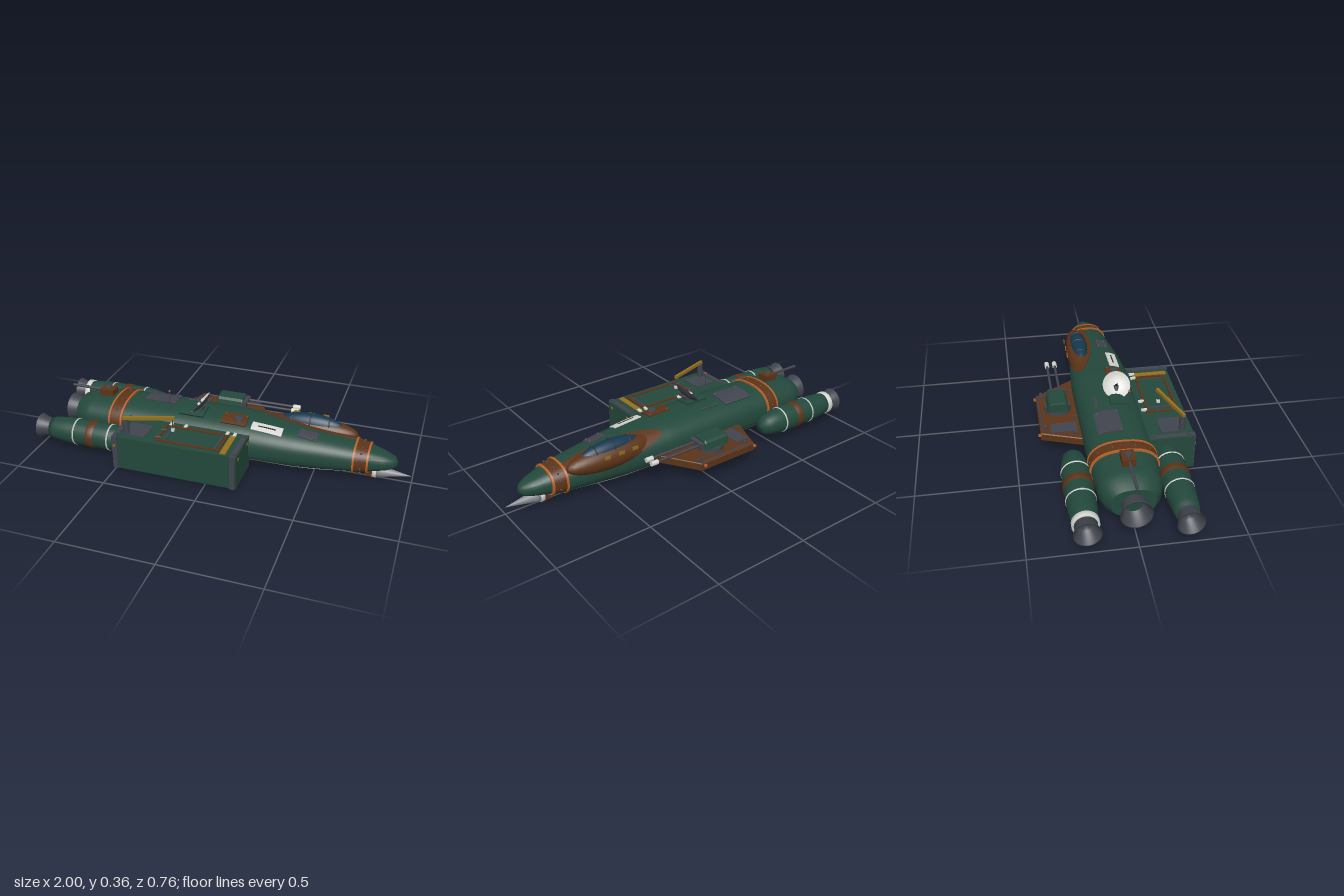
import * as THREE from 'three';
import { toCreasedNormals } from 'three/addons/utils/BufferGeometryUtils.js';

const mat = (name, color) => Object.assign(new THREE.MeshStandardMaterial({ color }), { name });
const M = {
  green: mat('hull green', 0x23483c), brown: mat('rust brown', 0x5c3418), grey: mat('gunmetal', 0x41444d),
  belly: mat('belly grey', 0x2d2f35), orange: mat('orange trim', 0xb5622a), mustard: mat('mustard', 0x94701c),
  white: mat('white', 0xd4d4d0), blue: mat('canopy blue', 0x14384f), metal: mat('light metal', 0x85888e),
};

// Hull stations: x, half width, top, bottom
const ST = [
  [-0.85, 0.105, 0.2, 0.05], [-0.82, 0.13, 0.215, 0.035], [-0.77, 0.15, 0.235, 0.025], [-0.6, 0.163, 0.245, 0.015],
  [-0.3, 0.165, 0.248, 0.01], [0.1, 0.165, 0.245, 0.008], [0.25, 0.158, 0.235, 0.012], [0.4, 0.145, 0.222, 0.018],
  [0.55, 0.122, 0.205, 0.026], [0.7, 0.1, 0.186, 0.037], [0.78, 0.083, 0.172, 0.048], [0.86, 0.058, 0.15, 0.062],
  [0.905, 0.035, 0.133, 0.075], [0.92, 0.012, 0.115, 0.09],
];
const N = 2.4;
const sPow = (v, p) => Math.sign(v) * Math.abs(v) ** p;
function section(x) {
  let i = 0;
  while (i < ST.length - 2 && x > ST[i + 1][0]) i++;
  const t = (x - ST[i][0]) / (ST[i + 1][0] - ST[i][0]);
  const [w, top, bot] = [1, 2, 3].map(k => THREE.MathUtils.lerp(ST[i][k], ST[i + 1][k], t));
  return { w, h: (top - bot) / 2, cy: (top + bot) / 2 };
}
const angleAt = (x, z) => Math.acos(THREE.MathUtils.clamp(sPow(z / section(x).w, N / 2), -1, 1));
const topAt = (x, z) => { const s = section(x); return s.cy + s.h * Math.sin(angleAt(x, z)) ** (2 / N); };

// Skin over the hull between stations xs and angles range(x), with closed borders
function skin(xs, range, lift, cols = 24, capped = false) {
  const pos = [], idx = [], rows = xs.length, stride = cols + 3;
  for (let i = -1; i <= rows; i++) for (let j = -1; j <= cols + 1; j++) {
    const x = xs[THREE.MathUtils.clamp(i, 0, rows - 1)];
    const [a0, a1] = range(x), a = a0 + (a1 - a0) * THREE.MathUtils.clamp(j / cols, 0, 1);
    const rowEdge = i < 0 || i === rows, edge = rowEdge || j < 0 || j > cols;
    const s = section(x), l = edge ? 0 : lift, k = rowEdge && capped ? 0 : 1;
    pos.push(x, s.cy + k * (s.h + l) * sPow(Math.sin(a), 2 / N), k * (s.w + l) * sPow(Math.cos(a), 2 / N));
  }
  for (let i = 0; i <= rows; i++) for (let j = 0; j < stride - 1; j++) {
    const p = i * stride + j, q = p + stride;
    idx.push(p, q, q + 1, p, q + 1, p + 1);
  }
  const g = new THREE.BufferGeometry();
  g.setAttribute('position', new THREE.Float32BufferAttribute(pos, 3));
  g.setIndex(idx);
  return toCreasedNormals(g, 0.6);
}
const steps = (a, b, n) => Array.from({ length: n + 1 }, (_, i) => a + (b - a) * i / n);
const LOOP = () => [0, Math.PI * 2];

export function createModel() {
  const ship = new THREE.Group();
  ship.name = 'spaceship';
  const add = (name, geo, m, x = 0, y = 0, z = 0, parent = ship) => {
    const mesh = new THREE.Mesh(geo, m);
    mesh.name = name;
    mesh.position.set(x, y, z);
    parent.add(mesh);
    return mesh;
  };
  const box = (name, m, x0, x1, y0, y1, z0, z1) => add(name, new THREE.BoxGeometry(x1 - x0, y1 - y0, z1 - z0), m,
    (x0 + x1) / 2, (y0 + y1) / 2, (z0 + z1) / 2);
  // Turned part along x, profile given as [radius, x]
  const turned = (name, m, pts, y, z) => add(name,
    new THREE.LatheGeometry(pts.map(p => new THREE.Vector2(...p)), 28).rotateZ(-Math.PI / 2), m, 0, y, z);
  const band = (name, m, r, x0, x1, y, z) => turned(name, m, [[r - 0.01, x0], [r, x0], [r, x1], [r - 0.01, x1]], y, z);
  const rod = (name, m, a, b, r) => {
    const p = new THREE.Vector3(...a), d = new THREE.Vector3(...b).sub(p);
    const mesh = add(name, new THREE.CylinderGeometry(r, r, d.length(), 12), m);
    mesh.position.copy(p).addScaledVector(d, 0.5);
    mesh.quaternion.setFromUnitVectors(new THREE.Vector3(0, 1, 0), d.normalize());
    return mesh;
  };
  const plate = (name, m, x0, x1, z0, z1, lift = 0.005) =>
    add(name, skin(steps(x0, x1, 6), x => [angleAt(x, z1), angleAt(x, z0)], lift, 6), m);

  // Hull, belly and collars
  const hullX = [...new Set([...ST.map(s => s[0]), ...steps(-0.75, 0.85, 24)])].sort((a, b) => a - b);
  add('hull', skin(hullX, LOOP, 0, 48, true), M.green);
  add('belly', skin(steps(-0.54, 0.69, 20), x => {
    const half = 1.14 * (1 - 0.55 * THREE.MathUtils.smoothstep(x, 0.2, 0.7));
    return [1.5 * Math.PI - half, 1.5 * Math.PI + half];
  }, 0.003), M.belly);
  for (const [a, b] of [[-0.62, -0.55], [0.705, 0.775]]) {
    add('collar', skin(steps(a, b, 2), LOOP, 0.005, 48), M.brown);
    for (const x of [a, b]) add('collarRim', skin(steps(x - 0.005, x + 0.005, 1), LOOP, 0.009, 48), M.orange);
    for (let i = 0; i < 12; i++) {
      const x = (a + b) / 2, s = section(x), t = (i + 0.5) * Math.PI / 6;
      add('collarBolt', new THREE.SphereGeometry(0.006, 8, 6), M.grey, x,
        s.cy + (s.h + 0.005) * sPow(Math.sin(t), 2 / N), (s.w + 0.005) * sPow(Math.cos(t), 2 / N));
    }
  }

  // Cockpit, offset to one side
  add('cockpitSurround', skin(steps(0.16, 0.745, 20), x => {
    const half = 0.62 * Math.sqrt(Math.max(0.02, Math.sin(Math.PI * Math.min(1, (x - 0.16) / 0.66))));
    return [2.25 - half, 2.25 + half];
  }, 0.005, 12), M.brown);
  const ellipsoid = (name, m, x, y, z, rx, ry, rz) =>
    add(name, new THREE.SphereGeometry(1, 32, 20), m, x, y, z).scale.set(rx, ry, rz);
  ellipsoid('cockpitFairing', M.brown, 0.43, 0.175, -0.085, 0.27, 0.068, 0.07);
  ellipsoid('canopy', M.blue, 0.445, 0.205, -0.083, 0.176, 0.057, 0.049);
  for (const x of [0.345, 0.445, 0.545]) {
    const k = Math.sqrt(1 - ((x - 0.445) / 0.176) ** 2);
    add('canopyRib', new THREE.TorusGeometry(1, 0.05, 6, 24, Math.PI).rotateY(Math.PI / 2), M.belly, x, 0.205, -0.083)
      .scale.set(0.08, 0.058 * k, 0.05 * k);
  }
  for (const x of [0.35, 0.43, 0.51]) box('cockpitMarker', M.mustard, x - 0.016, x + 0.016, 0.208, 0.225, -0.165, -0.16);

  // Nose probe
  turned('probeCone', M.metal, [[0, 0.81], [0.034, 0.81], [0.03, 0.84], [0, 1]], 0.038, 0);
  band('probeRim', M.white, 0.038, 0.8, 0.82, 0.038, 0);
  box('probeMount', M.brown, 0.765, 0.815, 0.008, 0.06, -0.022, 0.022);
  box('probeRail', M.grey, 0.64, 0.78, 0.022, 0.035, -0.012, 0.012);

  // Engines: main nozzle and side pods
  const nozzle = (x0, x1, r, y, z) => turned('nozzle', M.grey,
    [[0, x1 - 0.02], [r * 0.5, x1 - 0.02], [r * 0.92, x0], [r, x0], [r * 0.85, x0 + (x1 - x0) * 0.3], [r * 0.65, x1]], y, z);
  nozzle(-0.925, -0.82, 0.077, 0.12, 0);
  for (const side of [1, -1]) {
    const y = 0.106, z = side * 0.23;
    turned('enginePod', M.green, [[0, -0.93], [0.055, -0.93], [0.062, -0.9], [0.07, -0.82], [0.071, -0.6],
      [0.067, -0.53], [0.054, -0.465], [0.036, -0.438], [0, -0.43]], y, z);
    nozzle(-1, -0.92, 0.066, y, z);
    band('podBand', M.brown, 0.074, -0.7, -0.66, y, z);
    for (const x of [-0.775, -0.575]) band('podStripe', M.white, 0.0725, x - 0.004, x + 0.004, y, z);
    if (side < 0) band('podCollar', M.white, 0.064, -0.942, -0.915, y, z);
    rod('podStrut', M.grey, [-0.64, y, side * 0.14], [-0.64, y, side * 0.18], 0.025);
  }

  // Cargo container
  box('container', M.green, -0.505, 0.17, 0.018, 0.205, 0.14, 0.368);
  for (const x of [-0.5, 0.138]) {
    box('containerFrame', M.grey, x, x + 0.026, 0.016, 0.209, 0.15, 0.373);
    for (const z of [0.17, 0.345]) box('frameLug', M.grey, x + 0.005, x + 0.02, 0.208, 0.215, z - 0.01, z + 0.01);
  }
  for (const z of [0.18, 0.257]) rod('hatchLatch', M.grey, [-0.28, 0.21, z + 0.05], [-0.25, 0.21, z + 0.05], 0.006);
  for (const [a, b, c, d] of [[-0.275, 0.07, 0.175, 0.187], [-0.275, 0.07, 0.328, 0.34], [-0.275, -0.262, 0.175, 0.34], [0.058, 0.07, 0.175, 0.34]])
    box('hatchFrame', M.brown, a, b, 0.2, 0.212, c, d);
  for (const x of [-0.235, 0.04]) box('hatchRail', M.grey, x, x + 0.01, 0.2, 0.21, 0.187, 0.328);
  box('craneDeck', M.grey, -0.455, -0.335, 0.2, 0.209, 0.21, 0.33);
  box('hazardStripe', M.mustard, 0.08, 0.11, 0.2, 0.209, 0.17, 0.355);
  for (const z of [0.182, 0.333]) box('endMarker', M.mustard, 0.165, 0.173, 0.171, 0.183, z - 0.008, z + 0.008);
  box('sideMarker', M.mustard, -0.495, -0.48, 0.15, 0.16, 0.365, 0.377);
  for (const x of [-0.25, -0.17, 0.06, 0.1]) box('containerClamp', M.white, x - 0.008, x + 0.008, 0.205, 0.214, 0.15, 0.18);

  // Crane
  rod('cranePost', M.grey, [-0.44, 0.2, 0.316], [-0.44, 0.288, 0.316], 0.016);
  const arm = box('craneArm', M.mustard, -0.46, -0.195, 0.286, 0.303, 0.273, 0.288);
  arm.rotation.y = 0.31;
  rod('craneCable', M.grey, [-0.21, 0.23, 0.246], [-0.21, 0.29, 0.246], 0.0025);
  box('craneHook', M.white, -0.218, -0.202, 0.221, 0.236, 0.238, 0.254);

  // Side platform
  const outline = new THREE.Shape([[-0.345, 0.13], [0.24, 0.13], [0.085, 0.365], [-0.26, 0.365]].map(p => new THREE.Vector2(...p)));
  add('platform', new THREE.ExtrudeGeometry(outline, { depth: 0.036, bevelThickness: 0.004, bevelSize: 0.004, bevelSegments: 1 })
    .rotateX(-Math.PI / 2), M.brown, 0, 0.088, 0);
  rod('platformRail', M.grey, [-0.25, 0.129, -0.357], [0.08, 0.129, -0.357], 0.004);
  box('platformPanel', M.grey, -0.27, -0.19, 0.12, 0.132, -0.315, -0.18);
  for (const x of [-0.26, 0.07]) box('platformLamp', M.orange, x - 0.007, x + 0.007, 0.11, 0.12, -0.381, -0.365);
  for (const [x, z] of [[0.06, -0.34], [0.09, -0.34], [-0.22, -0.34], [0.1, -0.18], [-0.15, -0.18], [-0.29, -0.19]])
    add('platformStud', new THREE.CylinderGeometry(0.009, 0.009, 0.014, 10), M.grey, x, 0.134, z);

  // Platform turret with twin guns
  add('turretBase', new THREE.CylinderGeometry(0.068, 0.07, 0.03, 28), M.grey, -0.05, 0.142, -0.262);
  const head = new THREE.Shape([[-0.055, 0], [0.055, 0], [0.047, 0.036], [0.037, 0.046], [-0.037, 0.046], [-0.047, 0.036]]
    .map(p => new THREE.Vector2(...p)));
  add('turretHead', new THREE.ExtrudeGeometry(head, { depth: 0.13, bevelThickness: 0.008, bevelSize: 0.003, bevelSegments: 1 })
    .rotateY(Math.PI / 2), M.green, -0.118, 0.156, -0.262);
  box('gunMantlet', M.grey, 0.015, 0.045, 0.162, 0.192, -0.305, -0.212);
  for (const z of [-0.283, -0.24]) {
    rod('gunBarrel', M.grey, [0.03, 0.178, z], [0.31, 0.178, z], 0.007);
    rod('gunMuzzle', M.white, [0.3, 0.178, z], [0.34, 0.178, z], 0.013);
  }

  // Dorsal gun
  box('dorsalGun', M.brown, -0.73, -0.65, 0.235, 0.275, -0.032, 0.032);
  rod('dorsalBarrel', M.grey, [-0.91, 0.26, 0], [-0.72, 0.26, 0], 0.008);
  add('dorsalCap', new THREE.CylinderGeometry(0.016, 0.018, 0.01, 14), M.grey, -0.69, 0.278, 0);

  // Plates and hatches on the hull
  plate('engineCover', M.grey, -0.465, -0.285, -0.1, 0.018, 0.007);
  plate('dishPad', M.green, -0.235, -0.1, -0.005, 0.09, 0.012);
  plate('roofHatch', M.brown, 0, 0.135, 0.018, 0.1, 0.008);
  add('hatchWheel', new THREE.CylinderGeometry(0.022, 0.025, 0.014, 18), M.grey, 0.09, topAt(0.09, 0.065) + 0.01, 0.065);
  plate('namePlate', M.white, 0.165, 0.33, 0.053, 0.105);
  plate('namePlateSlot', M.belly, 0.2, 0.295, 0.074, 0.08, 0.007);
  plate('noseCover', M.grey, 0.41, 0.51, 0.02, 0.08);
  for (const [x, z] of [[-0.45, -0.09], [-0.45, 0.01], [-0.3, -0.09], [-0.3, 0.01], [0.425, 0.03], [0.495, 0.03], [0.425, 0.07], [0.495, 0.07], [0.01, 0.03], [0.125, 0.03]])
    add('plateBolt', new THREE.SphereGeometry(0.007, 8, 6), M.grey, x, topAt(x, z) + 0.006, z);
  for (let i = 0; i < 5; i++) plate('vent', M.grey, -0.24 + i * 0.022, -0.227 + i * 0.022, -0.082, -0.068, 0.006);

  // Dish and mast
  const dish = new THREE.Group();
  dish.name = 'dish';
  dish.position.set(-0.13, 0.297, 0.041);
  dish.rotation.z = 0.855;
  ship.add(dish);
  const bowl = [[0, 0], [0.03, 0.003], [0.055, 0.011], [0.072, 0.022]].map(p => new THREE.Vector2(...p));
  add('dishBack', new THREE.LatheGeometry(bowl, 32), M.grey, 0, -0.02, 0, dish);
  add('dishFace', new THREE.LatheGeometry(bowl.slice().reverse(), 32), M.white, 0, -0.017, 0, dish);
  add('dishFeed', new THREE.CylinderGeometry(0.003, 0.006, 0.06, 10), M.belly, 0, 0.012, 0, dish);
  rod('dishPost', M.grey, [-0.14, 0.235, 0.041], [-0.115, 0.287, 0.041], 0.013);
  rod('mast', M.grey, [-0.29, 0.22, 0.08], [-0.29, 0.355, 0.08], 0.0025);
  box('mastTip', M.orange, -0.294, -0.286, 0.354, 0.362, 0.076, 0.084);
  return ship;
}
